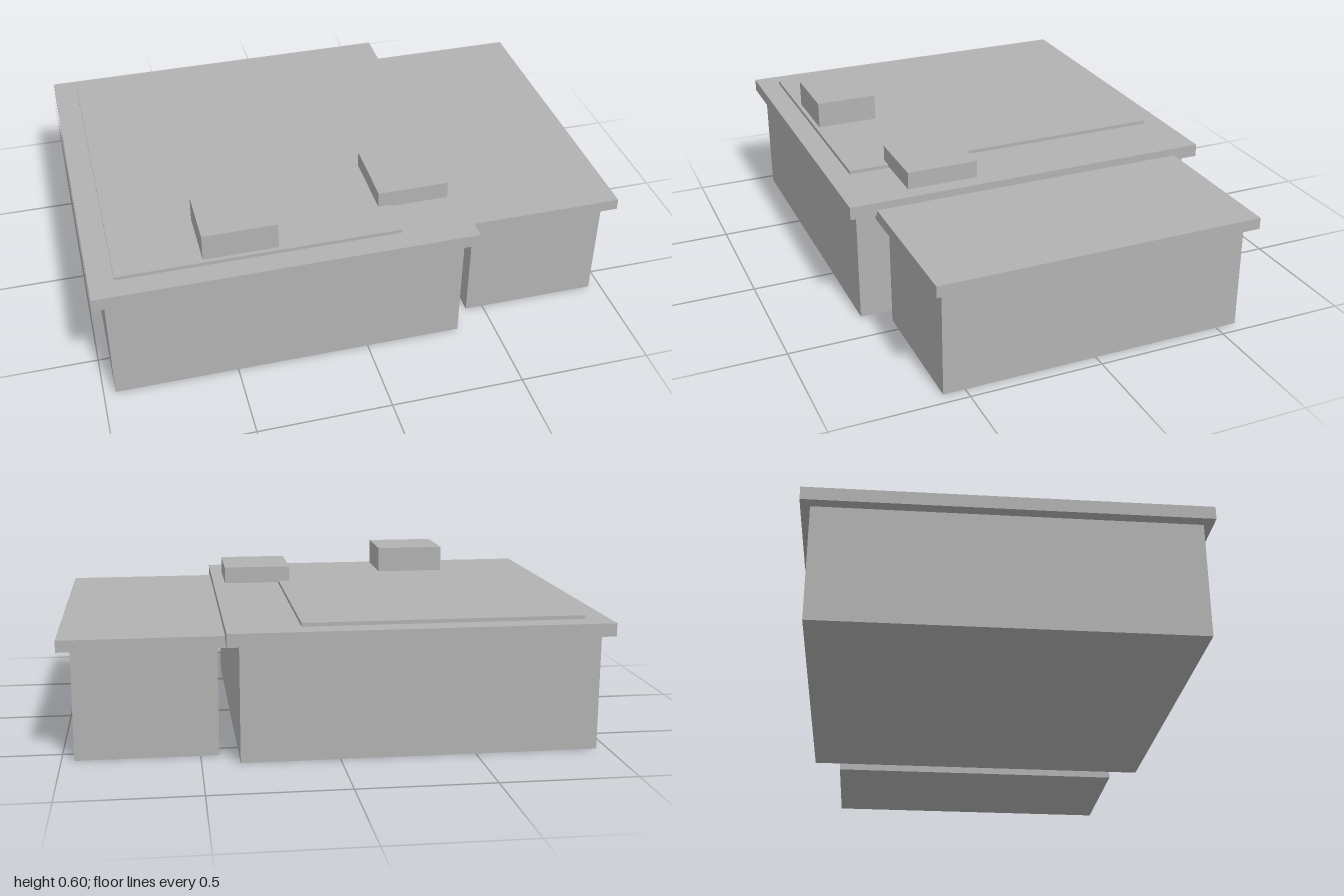
import * as THREE from 'three';

export function createModel() {
  const group = new THREE.Group();
  const concrete = new THREE.MeshStandardMaterial({ color: 0xb2b2b2 });
  concrete.name = 'grey';

  // Axis-aligned block given by its extents
  function block(name, [x0, x1], [y0, y1], [z0, z1]) {
    const mesh = new THREE.Mesh(new THREE.BoxGeometry(x1 - x0, y1 - y0, z1 - z0), concrete);
    mesh.position.set((x0 + x1) / 2, (y0 + y1) / 2, (z0 + z1) / 2);
    mesh.name = name;
    group.add(mesh);
  }

  // Main building: walls, overhanging roof slab, raised roof panel
  block('mainWalls', [-0.957, 0.361], [0, 0.433], [-0.681, 0.681]);
  block('mainRoof', [-1, 0.406], [0.433, 0.482], [-0.715, 0.715]);
  block('roofPanel', [-0.909, 0.135], [0.482, 0.496], [-0.63, 0.63]);

  // Lower side building
  block('sideWalls', [0.432, 0.953], [0, 0.41], [-0.581, 0.581]);
  block('sideRoof', [0.385, 1], [0.41, 0.453], [-0.615, 0.615]);

  // Rooftop units
  block('tallRoofUnit', [-0.595, -0.32], [0.488, 0.598], [0.376, 0.614]);
  block('lowRoofUnit', [0.09, 0.36], [0.49, 0.556], [0.206, 0.478]);

  return group;
}
